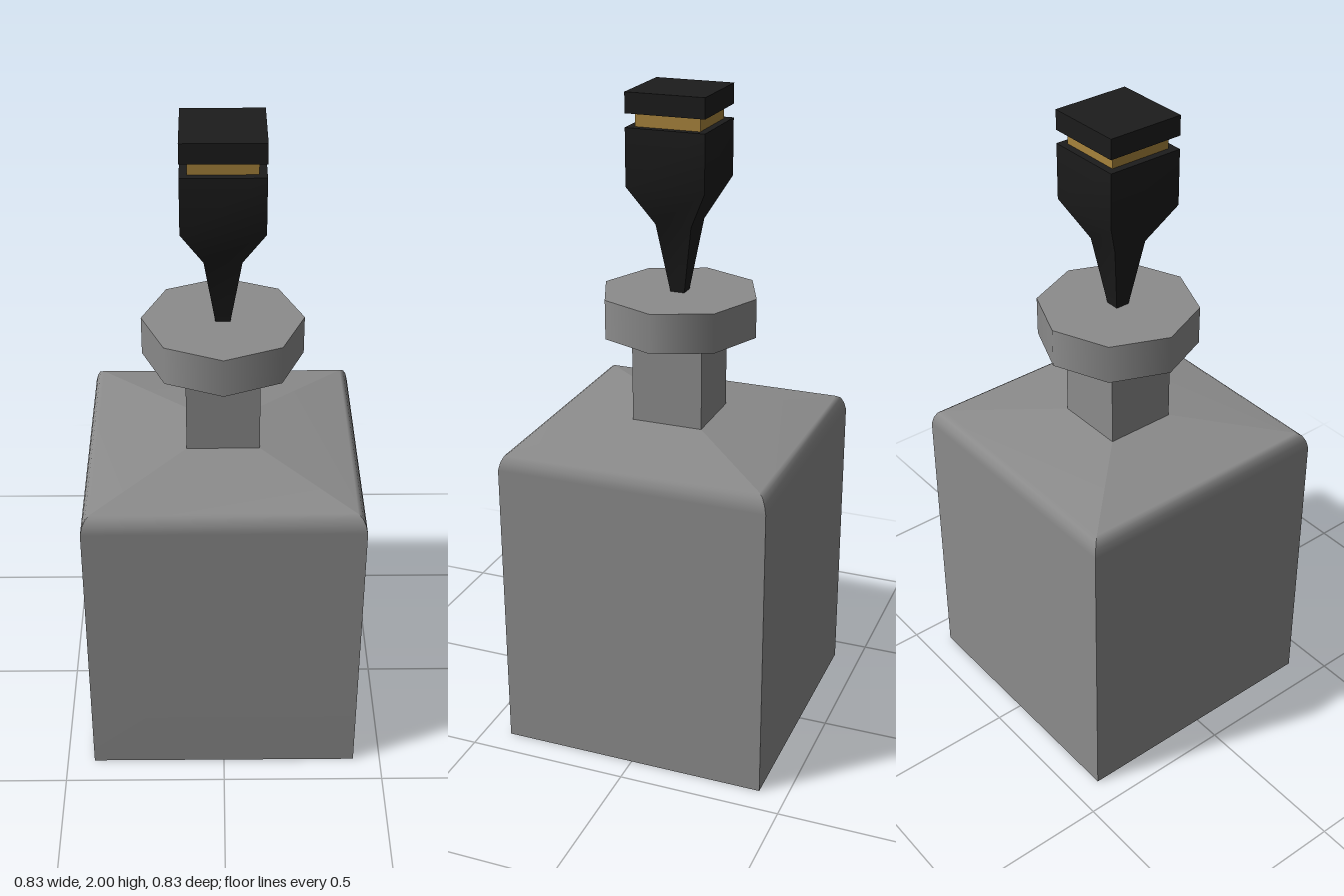
import * as THREE from 'three';

const glass = new THREE.MeshStandardMaterial({ name: 'smokyGlass', color: 0x8c8c8c });
const black = new THREE.MeshStandardMaterial({ name: 'blackStopper', color: 0x1c1c1c });
const gold = new THREE.MeshStandardMaterial({ name: 'goldBand', color: 0xa8843c });

// Square loft from a [halfWidth, y] profile, bottom to top. Each side has its
// own vertices, so the corners stay sharp while the profile shades smoothly.
function squareLoft(profile) {
  const positions = [];
  const index = [];
  for (let side = 0; side < 4; side++) {
    const angle = side * Math.PI / 2;
    const c = Math.round(Math.cos(angle));
    const s = Math.round(Math.sin(angle));
    const start = positions.length / 3;
    for (const [h, y] of profile) {
      for (const x of [-h, h]) positions.push(x * c + h * s, y, -x * s + h * c);
    }
    for (let i = 0; i < profile.length - 1; i++) {
      const a = start + i * 2;
      index.push(a, a + 1, a + 3, a, a + 3, a + 2);
    }
  }
  // Flat end caps
  const addCap = ([h, y], up) => {
    const a = positions.length / 3;
    positions.push(-h, y, h, h, y, h, h, y, -h, -h, y, -h);
    if (up) index.push(a, a + 1, a + 2, a, a + 2, a + 3);
    else index.push(a, a + 2, a + 1, a, a + 3, a + 2);
  };
  addCap(profile[0], false);
  addCap(profile[profile.length - 1], true);
  const geometry = new THREE.BufferGeometry();
  geometry.setAttribute('position', new THREE.Float32BufferAttribute(positions, 3));
  geometry.setIndex(index);
  geometry.computeVertexNormals();
  return geometry;
}

export function createModel() {
  const model = new THREE.Group();
  model.name = 'decanter';
  const add = (name, geometry, material, y = 0) => {
    const mesh = new THREE.Mesh(geometry, material);
    mesh.name = name;
    mesh.position.y = y;
    model.add(mesh);
  };

  // Square bottle with a rounded shoulder edge and a shallow sloped top
  add('bottleBody', squareLoft([
    [0.415, 0], [0.415, 0.92], [0.409, 0.945], [0.4, 0.963], [0.387, 0.972], [0.11, 1.01],
  ]), glass);

  // Square neck and octagonal lip
  add('neck', new THREE.BoxGeometry(0.22, 0.28, 0.22), glass, 1.15);
  add('lip', new THREE.CylinderGeometry(0.24, 0.24, 0.12, 8), glass, 1.34);

  // Tapered stopper, gold band and cap
  add('stopper', squareLoft([[0.022, 1.4], [0.055, 1.61], [0.12, 1.73], [0.12, 1.9]]), black);
  add('stopperBand', new THREE.BoxGeometry(0.196, 0.04, 0.196), gold, 1.92);
  add('stopperCap', new THREE.BoxGeometry(0.24, 0.06, 0.24), black, 1.97);

  return model;
}
